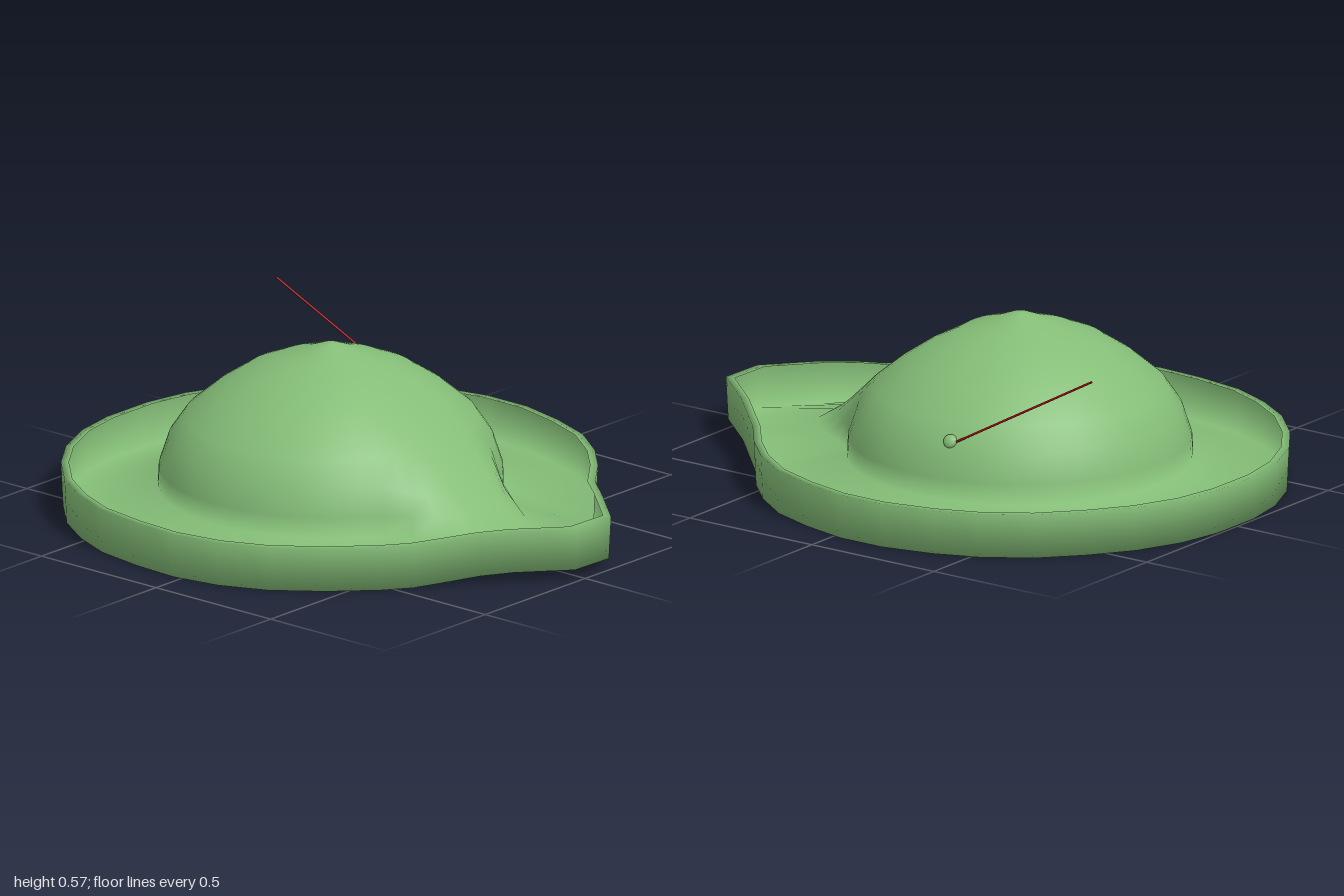
import * as THREE from 'three';

const CX = -0.11; // axis of the crown

// Brim outline seen from above (x, z), starting at the pointed front corner
const OUTLINE = [
  [0.995, 0.035], [0.86, 0.19], [0.71, 0.36], [0.58, 0.54], [0.45, 0.67], [0.3, 0.785], [0.14, 0.855], [-0.03, 0.885],
  [-0.2, 0.875], [-0.38, 0.845], [-0.53, 0.78], [-0.67, 0.69], [-0.8, 0.56], [-0.9, 0.42], [-0.97, 0.26], [-1, 0.1],
  [-1, -0.1], [-0.97, -0.26], [-0.9, -0.42], [-0.8, -0.56], [-0.68, -0.69], [-0.53, -0.79], [-0.38, -0.85], [-0.2, -0.89],
  [-0.03, -0.89], [0.14, -0.85], [0.3, -0.79], [0.44, -0.69], [0.55, -0.58], [0.66, -0.44], [0.82, -0.29], [1, -0.13],
];

// Crown profiles (radius, height) from base to peak: round side and long sloping ridge
const ROUND = [[0.57, 0.085], [0.566, 0.155], [0.535, 0.25], [0.482, 0.328], [0.385, 0.41], [0.285, 0.476], [0.19, 0.516], [0.1, 0.545], [0.03, 0.572], [0, 0.575]];
const RIDGE = [[0.77, 0.095], [0.68, 0.15], [0.63, 0.19], [0.51, 0.3], [0.41, 0.38], [0.3, 0.455], [0.19, 0.516], [0.1, 0.545], [0.03, 0.572], [0, 0.575]];

// Outline points plus edge midpoints, as spokes around the crown axis
const spokes = OUTLINE.flatMap(([x, z], i) => {
  const [x2, z2] = OUTLINE[(i + 1) % OUTLINE.length];
  return [[x, z], [(x + x2) / 2, (z + z2) / 2]];
}).map(([x, z]) => {
  const angle = Math.atan2(z, x - CX);
  return {
    angle,
    radius: Math.hypot(x - CX, z),
    lift: THREE.MathUtils.clamp((x - 0.66) / 0.16, 0, 1) * 0.035,
    ridge: 1 - THREE.MathUtils.smoothstep(Math.abs(angle - 0.03), 0.1, 0.58),
  };
});

// Skin closed loops; each row maps a spoke to [radius, height]
function skin(rows) {
  const n = spokes.length, pos = [], index = [];
  for (const row of rows) {
    for (const s of spokes) {
      const [r, y] = row(s);
      pos.push(CX + r * Math.cos(s.angle), y, r * Math.sin(s.angle));
    }
  }
  for (let i = 0; i < rows.length - 1; i++) {
    for (let j = 0; j < n; j++) {
      const k = (j + 1) % n;
      const a = i * n + j, b = a + n, c = i * n + k, d = c + n;
      index.push(a, b, c, b, d, c);
    }
  }
  const g = new THREE.BufferGeometry();
  g.setAttribute('position', new THREE.Float32BufferAttribute(pos, 3));
  g.setIndex(index);
  g.computeVertexNormals();
  return g;
}

export function createModel() {
  const group = new THREE.Group();
  const green = new THREE.MeshStandardMaterial({ color: 0x84bd77, side: THREE.DoubleSide });
  green.name = 'felt green';
  const red = new THREE.MeshStandardMaterial({ color: 0xa80c10 });
  red.name = 'quill red';
  const add = (name, geometry, material) => {
    const mesh = new THREE.Mesh(geometry, material);
    mesh.name = name;
    group.add(mesh);
    return mesh;
  };
  const up = new THREE.Vector3(0, 1, 0);

  // One thin sheet: inward lip, upturned wall, then the brim rising to the hollow crown
  const wallRows = [
    (s) => [s.radius * 0.97, 0.15 + s.lift * 0.86],
    (s) => [s.radius, 0.15 + s.lift * 0.86],
    (s) => [s.radius * 0.992, s.lift],
  ];
  const crownRow = (i) => (s) => [0, 1].map((k) => THREE.MathUtils.lerp(ROUND[i][k], RIDGE[i][k], s.ridge));
  add('hatBody', skin([...wallRows, ...ROUND.map((_, i) => crownRow(i))]), green);

  // Thin quill stuck in the side of the crown
  const base = new THREE.Vector3(-0.21, 0.265, -0.51);
  const tip = new THREE.Vector3(-0.73, 0.555, -0.44);
  const dir = tip.clone().sub(base);
  const quill = add('featherQuill', new THREE.CylinderGeometry(0.004, 0.004, dir.length(), 6), red);
  quill.position.copy(base).addScaledVector(dir, 0.5);
  quill.quaternion.setFromUnitVectors(up, dir.normalize());

  // Small flattened bead on the crown where the quill enters
  const bead = add('quillBead', new THREE.SphereGeometry(0.024, 12, 8), green);
  bead.scale.y = 0.6;
  bead.position.set(-0.205, 0.274, -0.514);
  bead.quaternion.setFromUnitVectors(up, new THREE.Vector3(-0.16, 0.55, -0.82).normalize());

  return group;
}
